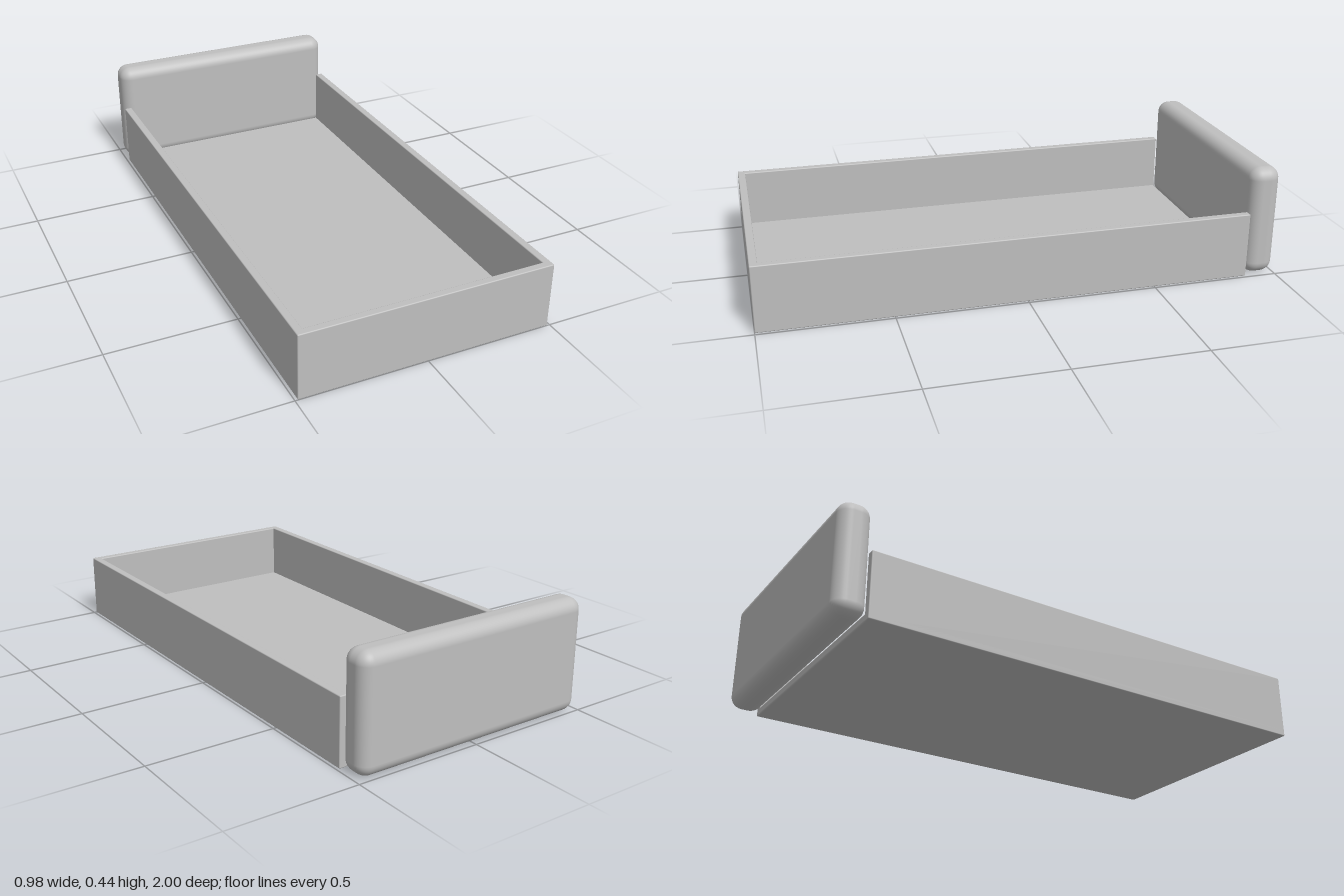
import * as THREE from 'three';
import { RoundedBoxGeometry } from 'three/addons/geometries/RoundedBoxGeometry.js';

const W = 0.98, H = 0.258, T = 0.03; // frame width, height, board thickness
const BACK = -0.88, FRONT = 1;

export function createModel() {
  const group = new THREE.Group();
  const grey = new THREE.MeshStandardMaterial({ color: 0xbfbfbf });
  grey.name = 'grey';

  // Board with softened edges, given by its size and centre
  const board = (name, size, centre, radius, segments = 2) => {
    const mesh = new THREE.Mesh(new RoundedBoxGeometry(...size, segments, radius), grey);
    mesh.name = name;
    mesh.position.set(...centre);
    group.add(mesh);
  };

  const length = FRONT - BACK, midZ = (FRONT + BACK) / 2;

  // Base panel
  board('basePanel', [W, T, length], [0, T / 2, midZ], 0.006);

  // Side rails
  for (const [name, side] of [['leftRail', 1], ['rightRail', -1]]) {
    board(name, [T, H, length], [side * (W - T) / 2, H / 2, midZ], 0.004);
  }

  // Foot panel
  board('footPanel', [W, H, T], [0, H / 2, FRONT - T / 2], 0.004);

  // Thick headboard with rounded edges
  board('headboard', [W, 0.435, 0.12], [0, 0.2175, -0.94], 0.047, 5);

  return group;
}
